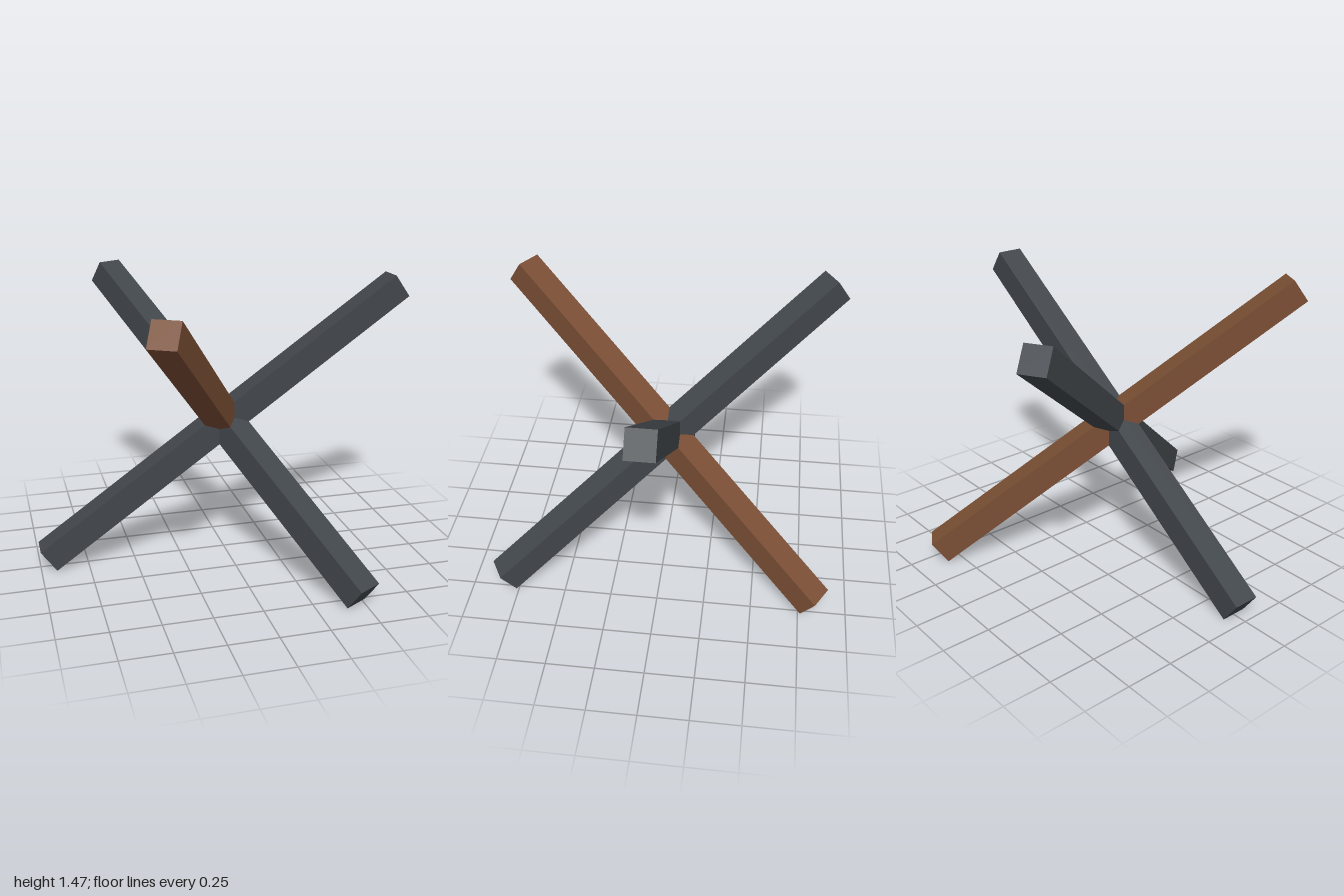
import * as THREE from 'three';

// Three square beams crossing at right angles, balanced on their lower ends.
export function createModel() {
  const model = new THREE.Group();
  model.name = 'crossedBeams';

  const width = 0.138, length = 2.352, centreHeight = 0.735;
  const tilt = Math.atan(Math.SQRT1_2); // makes the three beams mutually perpendicular
  const dark = new THREE.MeshStandardMaterial({ color: 0x42474c });
  const brown = new THREE.MeshStandardMaterial({ color: 0x7a4e34 });
  const beam = new THREE.BoxGeometry(length, width, width);

  // Each beam leans up from the ground, turned a third of a circle from the next
  [['sideBeam', dark], ['backBeam', dark], ['frontBeam', brown]].forEach(([name, material], i) => {
    const mesh = new THREE.Mesh(beam, material);
    mesh.name = name;
    mesh.rotation.set(0, i * Math.PI * 2 / 3, tilt, 'YZX');
    mesh.position.y = centreHeight;
    model.add(mesh);
  });

  return model;
}
